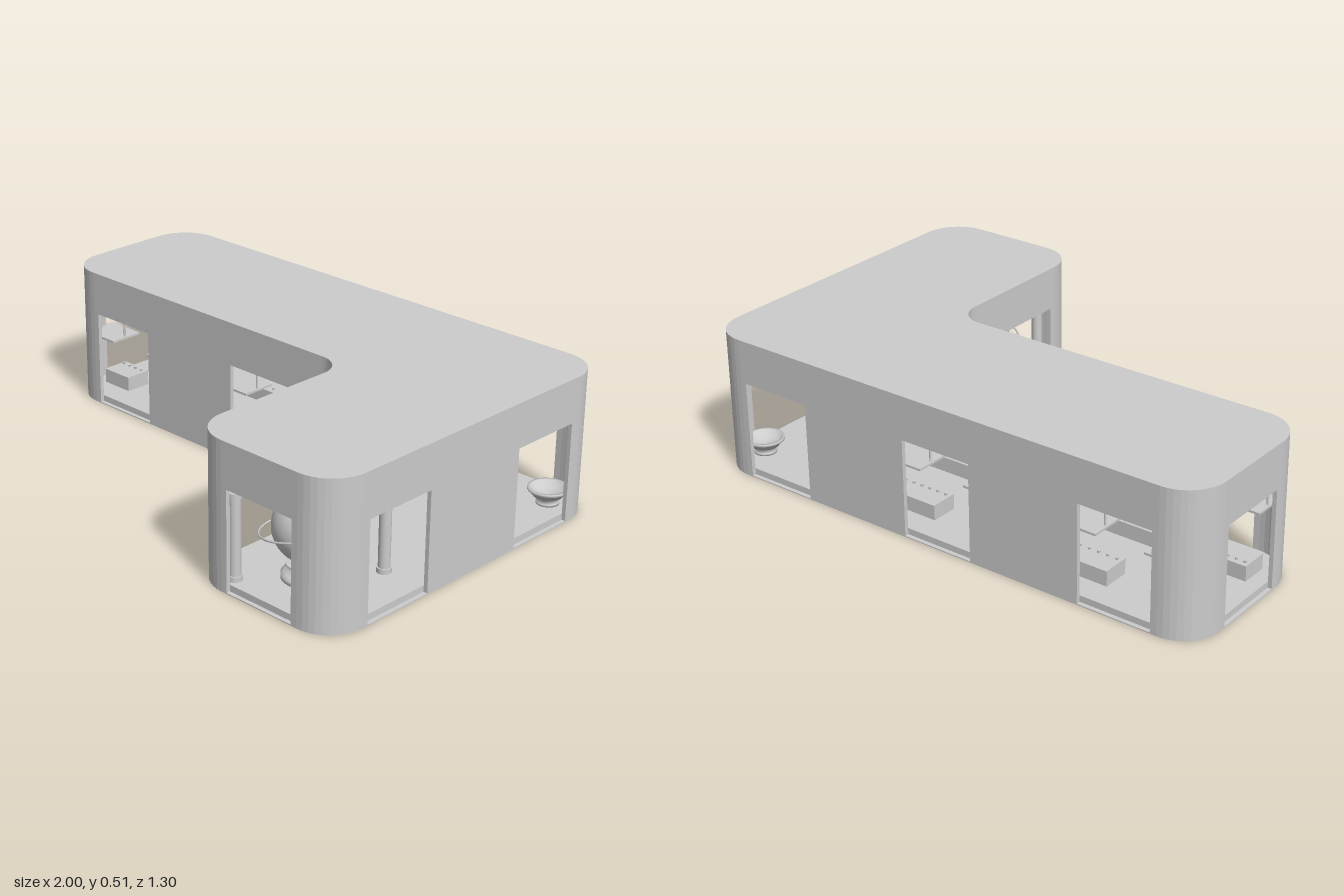
import * as THREE from 'three';

const grey = new THREE.MeshStandardMaterial({ color: 0xcccccc, side: THREE.DoubleSide });
grey.name = 'light grey';

const TOP = 0.515, FLOOR = 0.027, DOOR_TOP = 0.357, DOOR_HALF = 0.137, THICK = 0.015;

// plan corners [x, z, radius] and the door centres on the wall that follows each corner
const corners = [
  [-1, -0.65, 0.14], [1, -0.65, 0.14], [1, 0.65, 0.14],
  [0.4, 0.65, 0.14], [0.4, -0.05, 0.1], [-1, -0.05, 0.14],
];
const doors = [[-0.7, 0, 0.7], [-0.35, 0.35], [0.7], [0.35], [0, -0.7], [-0.35]];

const v2 = (x, z) => new THREE.Vector2(x, z);

// rounded corner as points that carry the inward normal
function fillet(i) {
  const n = corners.length;
  const [x, z, r] = corners[i];
  const p = v2(x, z);
  const a = corners[(i + n - 1) % n], b = corners[(i + 1) % n];
  const d1 = v2(x - a[0], z - a[1]).normalize();
  const d2 = v2(b[0] - x, b[1] - z).normalize();
  const n1 = v2(-d1.y, d1.x), n2 = v2(-d2.y, d2.x);
  const sign = Math.sign(d1.x * d2.y - d1.y * d2.x);
  const centre = p.clone().addScaledVector(d1, -r).addScaledVector(n1, r * sign);
  const pts = [];
  for (let k = 0; k <= 10; k++) {
    const t = (k / 10) * Math.PI / 2;
    const normal = n1.clone().multiplyScalar(Math.cos(t)).addScaledVector(n2, Math.sin(t));
    pts.push({ p: centre.clone().addScaledVector(normal, -r * sign), normal });
  }
  return pts;
}

const inset = (list, d) => list.map(({ p, normal }) => p.clone().addScaledVector(normal, d));

// plan points (x, z) raised from y0 to y1
function slab(points, y0, y1, hole) {
  const flip = (pts) => pts.map((p) => v2(p.x, -p.y));
  const shape = new THREE.Shape(flip(points));
  if (hole) shape.holes.push(new THREE.Path(flip(hole)));
  const geo = new THREE.ExtrudeGeometry(shape, { depth: y1 - y0, bevelEnabled: false });
  return geo.rotateX(-Math.PI / 2).translate(0, y0, 0);
}

function add(parent, name, geo, x = 0, y = 0, z = 0) {
  const mesh = new THREE.Mesh(geo, grey);
  mesh.name = name;
  mesh.position.set(x, y, z);
  parent.add(mesh);
  return mesh;
}

function rod(parent, name, from, to, r) {
  const a = new THREE.Vector3(...from), b = new THREE.Vector3(...to);
  const m = add(parent, name, new THREE.CylinderGeometry(r, r, a.distanceTo(b), 10));
  m.position.copy(a).lerp(b, 0.5);
  m.quaternion.setFromUnitVectors(new THREE.Vector3(0, 1, 0), b.sub(a).normalize());
  return m;
}

function buildShell(group) {
  const outline = corners.flatMap((_, i) => fillet(i));
  const outer = inset(outline, 0), inner = inset(outline, THICK);
  add(group, 'basePlate', slab(outer, 0, 0.004));
  add(group, 'floor', slab(inner, 0.004, FLOOR));
  add(group, 'roof', slab(outer, TOP - 0.02, TOP));
  add(group, 'upperWall', slab(outer, DOOR_TOP, TOP - 0.02, inner));

  // lower wall: pieces running from one door to the next around the plan
  const wall = (list) => add(group, 'lowerWall',
    slab([...inset(list, 0), ...inset(list, THICK).reverse()], 0.004, DOOR_TOP));
  const edgePoint = (i, at) => {
    const a = corners[i], b = corners[(i + 1) % corners.length];
    const d = v2(b[0] - a[0], b[1] - a[1]).normalize();
    const p = d.x ? v2(at, a[1]) : v2(a[0], at);
    return { d, point: (s) => ({ p: p.clone().addScaledVector(d, s * DOOR_HALF), normal: v2(-d.y, d.x) }) };
  };
  corners.forEach((_, i) => {
    const prev = (i + corners.length - 1) % corners.length;
    const before = edgePoint(prev, doors[prev].at(-1)).point(1);
    const after = edgePoint(i, doors[i][0]).point(-1);
    wall([before, ...fillet(i), after]);
    for (let k = 1; k < doors[i].length; k++) {
      wall([edgePoint(i, doors[i][k - 1]).point(1), edgePoint(i, doors[i][k]).point(-1)]);
    }
  });
}

// counters with small cups and a hanging shelf, one row along each long wall
function buildCounters(group) {
  for (const [x0, x1] of [[-0.93, -0.8], [-0.6, -0.1], [0.1, 0.55]]) {
    for (const side of [-1, 1]) {
      const w = x1 - x0, x = (x0 + x1) / 2, z = -0.35 + side * 0.143;
      add(group, 'counter', new THREE.BoxGeometry(w, 0.053, 0.1), x, FLOOR + 0.0265, z);
      add(group, 'counterRim', new THREE.BoxGeometry(w, 0.005, 0.104), x, 0.08, z);
      const count = Math.round(w / 0.035);
      for (let k = 0; k < count; k++) {
        add(group, 'cup', new THREE.CylinderGeometry(0.006, 0.005, 0.008, 8),
          x0 + (k + 0.5) * w / count, 0.086, z - side * 0.03);
      }
      const zs = -0.35 + side * 0.205;
      add(group, 'hangingShelf', new THREE.BoxGeometry(w + 0.02, 0.008, 0.13), x, 0.25, zs);
      for (const e of [x0, x1]) {
        rod(group, 'shelfRod', [e, 0.25, zs], [e, TOP - 0.02, zs], 0.004);
      }
    }
  }
}

function buildGlobe(group) {
  const cx = 0.697, cy = 0.204, cz = 0.42;
  const foot = [[0, 0], [0.092, 0], [0.092, 0.014], [0.08, 0.02], [0.062, 0.032],
    [0.062, 0.038], [0.078, 0.048], [0.078, 0.056], [0, 0.056]];
  add(group, 'globeFoot', new THREE.LatheGeometry(foot.map((p) => v2(...p)), 28), cx, FLOOR, cz);
  add(group, 'globe', new THREE.SphereGeometry(0.122, 36, 24), cx, cy, cz);
  const ring = new THREE.Group();
  ring.name = 'orbitRing';
  ring.position.set(cx, cy, cz);
  ring.rotation.z = 0.22;
  group.add(ring);
  add(ring, 'ringBand', new THREE.TorusGeometry(0.162, 0.0035, 8, 56).rotateX(Math.PI / 2));
  add(ring, 'ringBead', new THREE.SphereGeometry(0.008, 12, 8), 0.154, 0, 0.05);
  rod(group, 'globeRod', [cx, 0.32, cz], [cx, 0.35, cz], 0.006);

  // four columns joined over the globe
  for (const sx of [-1, 1]) {
    for (const sz of [-1, 1]) {
      const x = cx + sx * 0.145, z = cz + sz * 0.183;
      add(group, 'column', new THREE.CylinderGeometry(0.02, 0.02, 0.29, 20), x, 0.175, z);
      for (const y of [0.039, 0.324]) {
        add(group, 'columnCollar', new THREE.CylinderGeometry(0.025, 0.025, 0.018, 20), x, y, z);
      }
      rod(group, 'canopyBar', [x, 0.35, z], [cx, 0.35, cz], 0.005);
      rod(group, 'canopyPost', [x, 0.33, z], [x, 0.355, z], 0.01);
    }
  }
}

// round basin in the far corner
function buildBasin(group) {
  const profile = [[0, 0], [0.04, 0], [0.04, 0.008], [0.028, 0.016], [0.05, 0.028],
    [0.065, 0.048], [0.07, 0.05], [0.07, 0.058], [0.06, 0.058], [0.045, 0.036], [0, 0.03]];
  add(group, 'basin', new THREE.LatheGeometry(profile.map((p) => v2(...p)), 24), 0.9, FLOOR, -0.52);
}

export function createModel() {
  const model = new THREE.Group();
  model.name = 'pavilion';
  const parts = { shell: buildShell, counters: buildCounters, globeDisplay: buildGlobe, basinCorner: buildBasin };
  for (const [name, build] of Object.entries(parts)) {
    const g = new THREE.Group();
    g.name = name;
    build(g);
    model.add(g);
  }
  return model;
}
